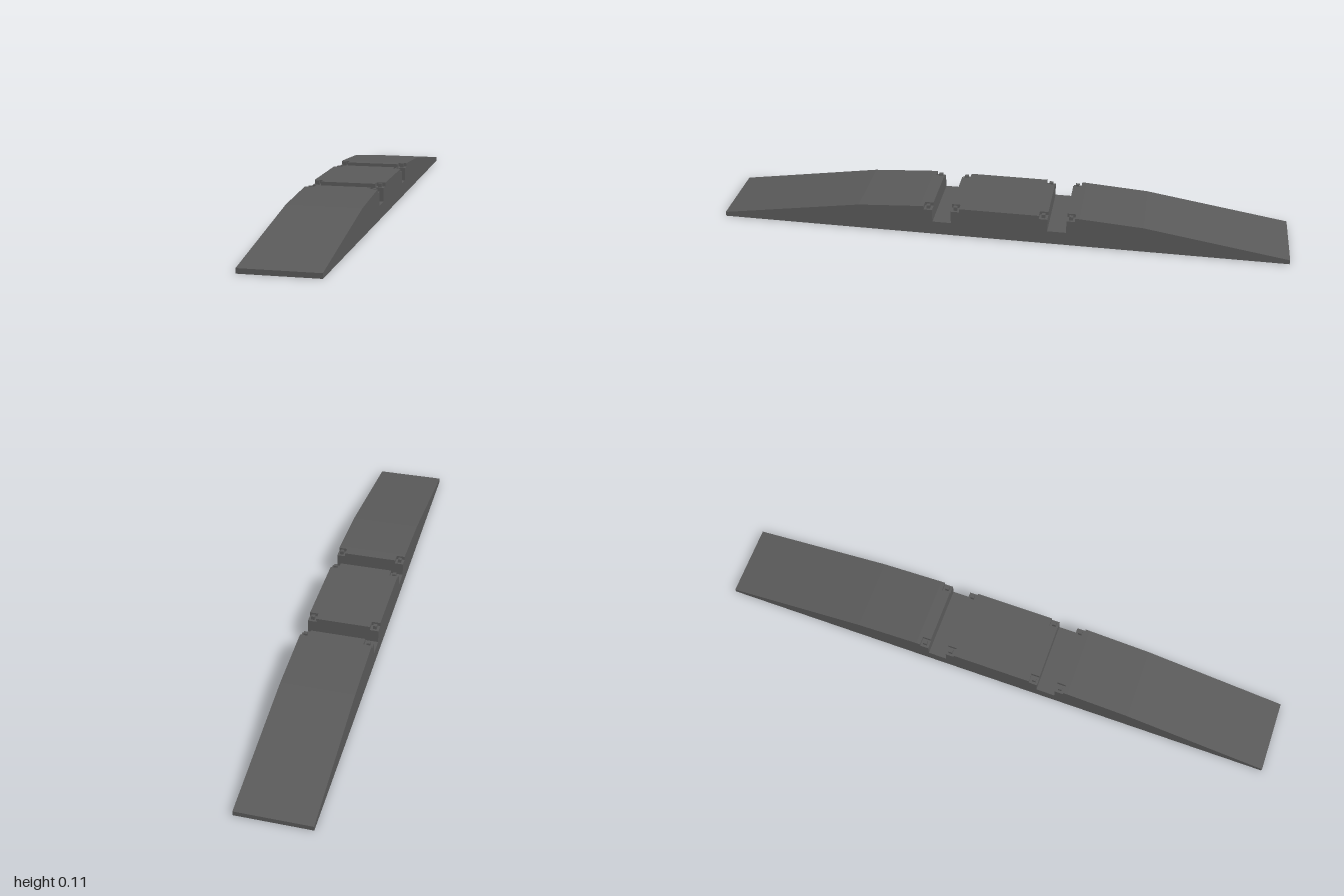
import * as THREE from 'three';

export function createModel() {
  const group = new THREE.Group();
  group.name = 'cableRamp';
  const rubber = new THREE.MeshStandardMaterial({ color: 0x5a5a5a });
  rubber.name = 'dark grey rubber';

  const width = 0.25, top = 0.11, notchY = 0.097, slotY = 0.05;
  const slotIn = 0.17, slotOut = 0.236, notch = 0.03;

  function add(name, geometry, x, y, z) {
    const mesh = new THREE.Mesh(geometry, rubber);
    mesh.name = name;
    mesh.position.set(x, y, z);
    group.add(mesh);
  }

  // Half profile from centre to tip: deck, slot with stepped edges, slope
  const half = [
    [slotIn - notch, top], [slotIn - notch, notchY], [slotIn, notchY], [slotIn, slotY],
    [slotOut, slotY], [slotOut, notchY], [slotOut + notch, notchY], [slotOut + notch, top],
    [0.28, top], [0.5, 0.095], [1, 0.016], [1, 0],
  ];
  const outline = [
    ...half.map(([z, y]) => new THREE.Vector2(-z, y)).reverse(),
    ...half.map(([z, y]) => new THREE.Vector2(z, y)),
  ];
  const body = new THREE.ExtrudeGeometry(new THREE.Shape(outline), { depth: width, bevelEnabled: false });
  body.translate(0, 0, -width / 2).rotateY(-Math.PI / 2);
  add('rampBody', body, 0, 0, 0);

  // Each slot edge: filler between the corner pockets, and a stud in each pocket
  const h = top - notchY;
  for (const side of [-1, 1]) {
    for (const z of [slotIn - notch / 2, slotOut + notch / 2]) {
      add('slotEdge', new THREE.BoxGeometry(width - 2 * notch, h, notch), 0, notchY + h / 2, side * z);
      for (const x of [-1, 1]) {
        add('cornerStud', new THREE.BoxGeometry(0.013, h, 0.013),
          x * (width / 2 - notch / 2), notchY + h / 2, side * z);
      }
    }
  }
  return group;
}
